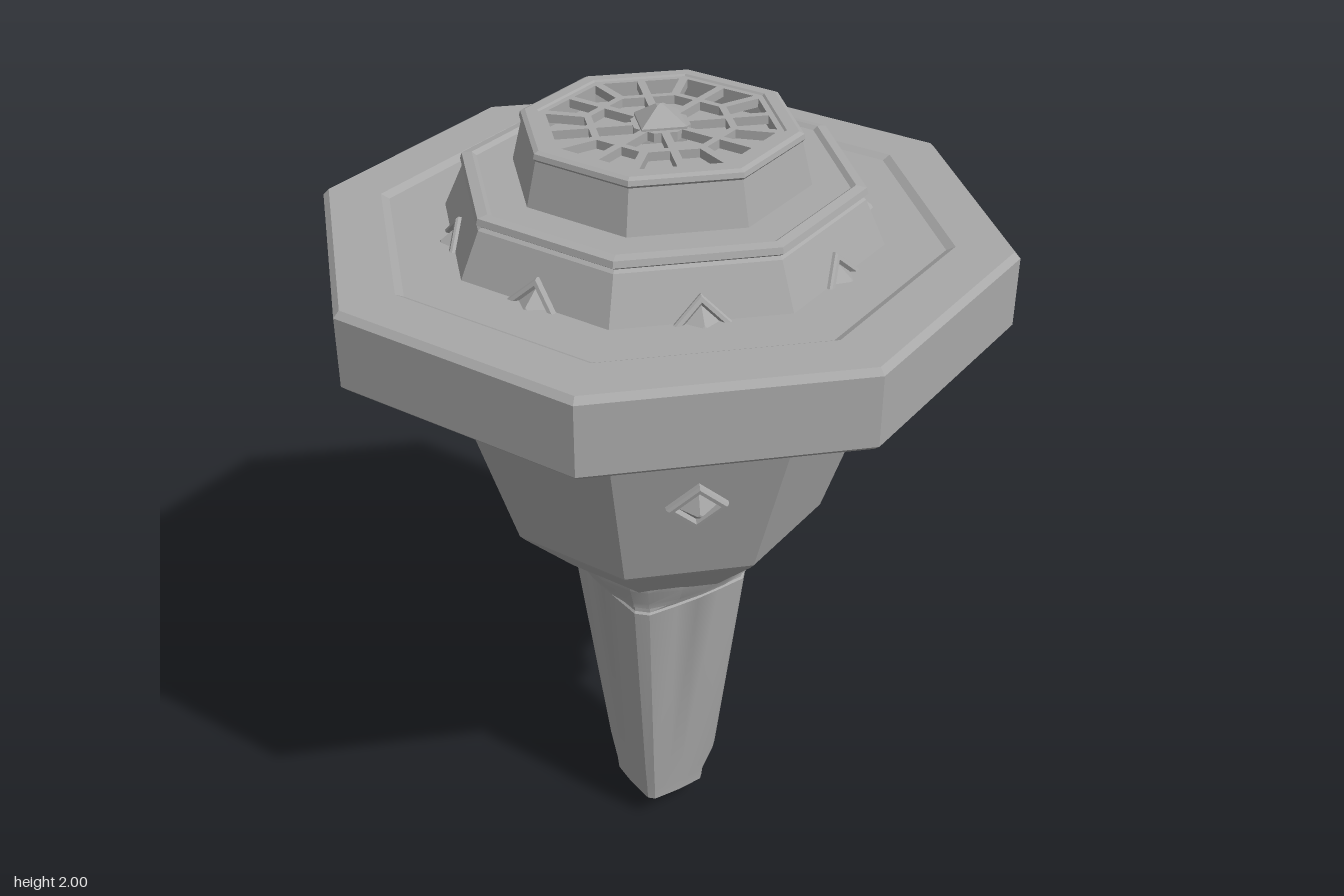
import * as THREE from 'three';
import { toCreasedNormals } from 'three/addons/utils/BufferGeometryUtils.js';

const EIGHTH = Math.PI / 4;
const DEG = Math.PI / 180;

export function createModel() {
  const group = new THREE.Group();
  group.name = 'octagonalHandheldDevice';
  const grey = new THREE.MeshStandardMaterial({ color: 0xa8a8a8 });
  grey.name = 'grey';

  const add = (name, geo, parent = group) => {
    const mesh = new THREE.Mesh(geo, grey);
    mesh.name = name;
    parent.add(mesh);
    return mesh;
  };
  const flat = (geo) => {
    const g = geo.index ? geo.toNonIndexed() : geo;
    g.computeVertexNormals();
    return g;
  };
  // Octagonal solid from [apothem, y] pairs, bottom to top, flats on the axes
  const octagon = (profile) => flat(new THREE.LatheGeometry(
    profile.map(([r, y]) => new THREE.Vector2(r / Math.cos(Math.PI / 8), y)), 8, Math.PI / 8));

  // Grip: square section with chamfered corners and slightly bowed sides
  // [y, corner radius, bow of the sides, extra radius on two corners]
  const rings = [
    [0, 0.0005, 0.8, 0], [0.075, 0.113, 0.8, 0], [0.11, 0.117, 0.8, 0], [0.2, 0.134, 0.8, 0.013],
    [0.775, 0.215, 0.8, 0], [0.78, 0.21, 0.8, 0], [0.795, 0.21, 0.84, 0], [0.8, 0.222, 0.86, 0],
    [0.815, 0.224, 0.88, 0], [0.865, 0.246, 0.92, 0], [0.89, 0.25, 0.93, 0],
  ];
  const pos = [], idx = [], N = 20;
  for (const [y, R, bow, extra] of rings) {
    for (let c = 0; c < 4; c++) {
      const r = (k) => R + (k === 0 || k === 3 ? extra : 0);
      const side = R * (bow + 0.04);
      [[-5, r(c)], [5, r(c)], [25, side], [45, R * bow], [65, side]].forEach(([d, rad]) => {
        const a = (22.5 + 90 * c + d) * DEG;
        pos.push(rad * Math.cos(a), y, rad * Math.sin(a));
      });
    }
  }
  for (let i = 0; i < rings.length - 1; i++) {
    for (let j = 0; j < N; j++) {
      const a = i * N + j, b = i * N + (j + 1) % N;
      idx.push(a, a + N, b, b, a + N, b + N);
    }
  }
  const gripGeo = new THREE.BufferGeometry();
  gripGeo.setAttribute('position', new THREE.Float32BufferAttribute(pos, 3));
  gripGeo.setIndex(idx);
  add('grip', toCreasedNormals(gripGeo, 0.42));

  // Flared body under the disc
  add('body', octagon([[0, 0.868], [0.23, 0.868], [0.24, 0.878], [0.352, 0.997], [0.364, 1.012],
    [0.484, 1.41], [0.498, 1.426], [0.55, 1.47]]));

  // Wide disc with bevelled rims and a shallow step on top
  add('disc', octagon([[0.49, 1.42], [0.722, 1.538], [0.735, 1.55], [0.735, 1.712], [0.722, 1.726],
    [0.605, 1.726], [0.587, 1.716], [0.4, 1.716]]));

  // Sloping tier with a thin lip
  add('tier', octagon([[0.47, 1.7], [0.42, 1.818], [0.412, 1.824], [0.424, 1.832], [0.42, 1.846],
    [0.398, 1.85], [0.388, 1.842], [0.25, 1.842]]));

  // Crown with a recessed floor under the grille
  add('crown', octagon([[0.312, 1.835], [0.288, 1.94], [0.293, 1.946], [0.29, 1.957], [0.28, 1.962],
    [0.255, 1.962], [0.25, 1.957], [0.25, 1.91], [0, 1.91]]));

  // Grille: octagonal plate with two rings of openings
  const onOctagon = (a, r) => {
    const off = a - Math.round(a / EIGHTH) * EIGHTH;
    const d = r / Math.cos(off);
    return new THREE.Vector2(d * Math.cos(a), d * Math.sin(a));
  };
  const plate = new THREE.Shape();
  plate.setFromPoints([...Array(8)].map((_, i) => onOctagon((i + 0.5) * EIGHTH, 0.254)));
  const cell = (a0, a1, r0, r1) => {
    const bar = 0.009, mid = (a0 + a1) / 2;
    const i0 = Math.asin(bar / r0), i1 = Math.asin(bar / r1);
    plate.holes.push(new THREE.Path([onOctagon(a0 + i0, r0), onOctagon(mid, r0), onOctagon(a1 - i0, r0),
      onOctagon(a1 - i1, r1), onOctagon(mid, r1), onOctagon(a0 + i1, r1)]));
  };
  for (let k = 0; k < 16; k++) cell(k * EIGHTH / 2, (k + 1) * EIGHTH / 2, 0.158, 0.238);
  for (let k = 0; k < 8; k++) cell(k * EIGHTH, (k + 1) * EIGHTH, 0.062, 0.142);
  const grille = add('grille', new THREE.ExtrudeGeometry(plate, { depth: 0.02, bevelEnabled: false }));
  grille.rotation.x = -Math.PI / 2;
  grille.position.y = 1.938;

  // Pyramid knob in the middle of the grille
  const knob = add('topKnob', flat(new THREE.LatheGeometry([[0, 1.93], [0.07, 1.93], [0.07, 1.963],
    [0.012, 1.997], [0, 2]].map(([x, y]) => new THREE.Vector2(x, y)), 4)));
  knob.rotation.y = EIGHTH;

  // Diamond studs: bevelled frame around a pyramid
  const studGeo = flat(new THREE.LatheGeometry([[0.073, -0.03], [0.07, 0.01], [0.064, 0.016], [0.052, 0.016],
    [0.046, 0.004], [0.006, 0.036], [0, 0.037]].map(([x, y]) => new THREE.Vector2(x, y)), 4)
    .rotateX(Math.PI / 2));
  const stud = (name, angle, apothem, y, tilt, depth) => {
    const s = add(name, studGeo);
    s.position.set(apothem * Math.sin(angle), y, apothem * Math.cos(angle));
    s.rotation.set(tilt, angle, 0, 'YXZ');
    s.scale.z = depth;
  };
  for (let k = 0; k < 4; k++) stud('bodyStud', k * 2 * EIGHTH, 0.436, 1.25, 0.29, 1);
  for (let k = 0; k < 8; k++) stud('tierStud', k * EIGHTH, 0.468, 1.705, -0.4, 0.7);

  return group;
}
